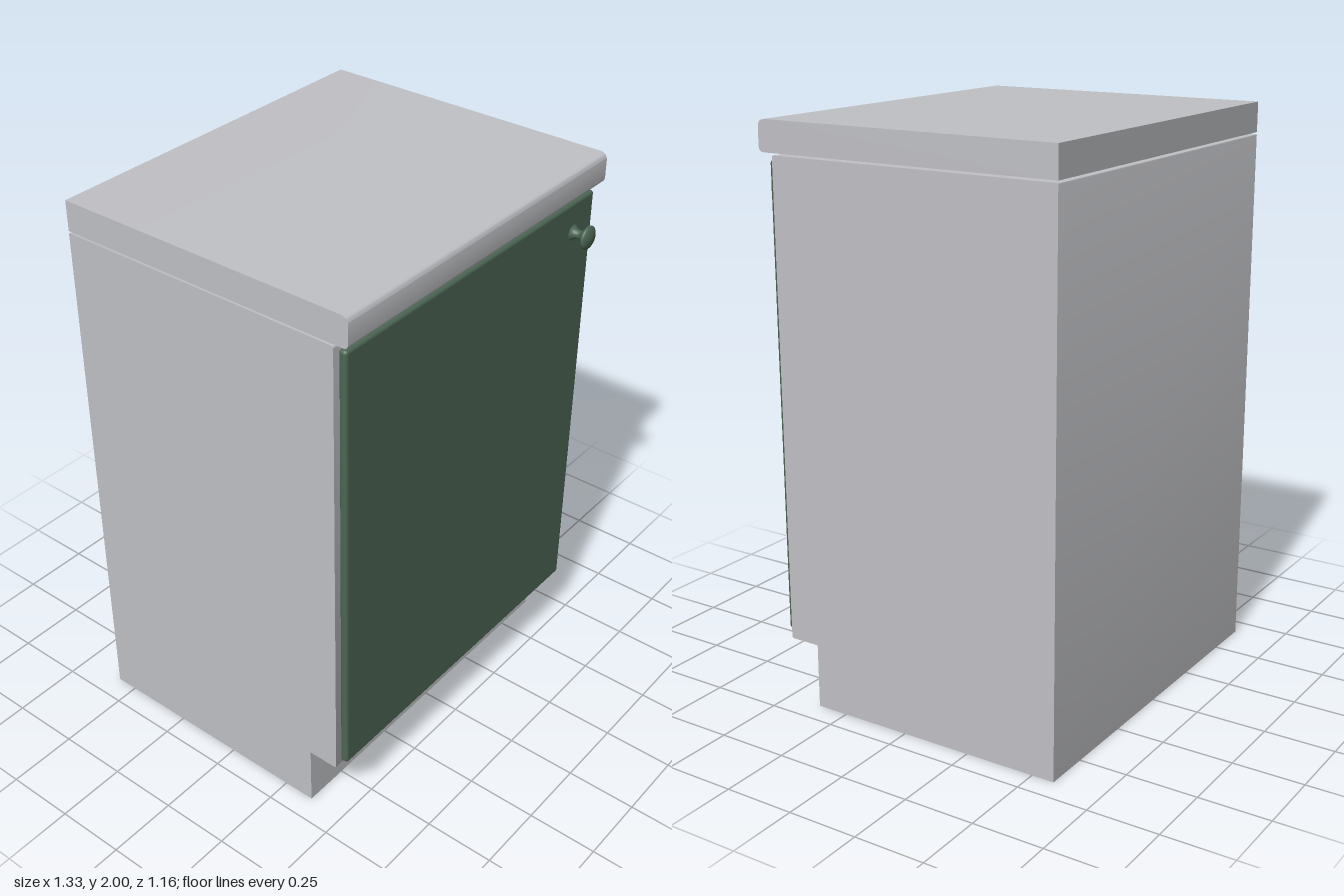
import * as THREE from 'three';
import { toCreasedNormals } from 'three/addons/utils/BufferGeometryUtils.js';
import { RoundedBoxGeometry } from 'three/addons/geometries/RoundedBoxGeometry.js';

const WIDTH = 1.33;

// Side profile from [z, y, cornerRadius] points, extruded across the width
function sideExtrusion(points) {
  const shape = new THREE.Shape();
  points.forEach(([z, y, r = 0], i) => {
    const p = new THREE.Vector2(z, y);
    const toward = ([qz, qy]) => new THREE.Vector2(qz - z, qy - y).normalize().multiplyScalar(r).add(p);
    const a = toward(points.at(i - 1));
    const b = toward(points[(i + 1) % points.length]);
    if (i === 0) shape.moveTo(a.x, a.y);
    else shape.lineTo(a.x, a.y);
    if (r > 0) shape.quadraticCurveTo(z, y, b.x, b.y);
  });
  shape.closePath();
  const geometry = new THREE.ExtrudeGeometry(shape, { depth: WIDTH, bevelEnabled: false, curveSegments: 8 });
  geometry.translate(0, 0, -WIDTH / 2).rotateY(-Math.PI / 2);
  return toCreasedNormals(geometry, 0.6);
}

export function createModel() {
  const group = new THREE.Group();
  const grey = new THREE.MeshStandardMaterial({ color: 0xc0c1c5 });
  grey.name = 'light grey';
  const green = new THREE.MeshStandardMaterial({ color: 0x4c6653 });
  green.name = 'dark green';

  const add = (name, geometry, material, x = 0, y = 0, z = 0) => {
    const mesh = new THREE.Mesh(geometry, material);
    mesh.name = name;
    mesh.position.set(x, y, z);
    group.add(mesh);
    return mesh;
  };

  // Carcass with a recessed toe kick
  add('cabinetBody', sideExtrusion([
    [-0.58, 0], [0.365, 0], [0.365, 0.228], [0.477, 0.228, 0.008], [0.477, 1.888, 0.008], [-0.58, 1.888, 0.004],
  ]), grey);

  // Worktop with a rounded front edge, a hairline above the carcass
  add('worktop', sideExtrusion([
    [-0.58, 1.895], [0.53, 1.895, 0.02], [0.53, 2, 0.028], [-0.58, 2],
  ]), grey);

  // Door with softened edges
  add('door', new RoundedBoxGeometry(1.29, 1.62, 0.03, 3, 0.012), green, 0, 1.06, 0.492);

  // Turned knob, its axis pointing forward
  const profile = new THREE.SplineCurve([
    [0.03, 0], [0.019, 0.012], [0.015, 0.03], [0.022, 0.042], [0.037, 0.052],
    [0.041, 0.06], [0.035, 0.067], [0.02, 0.073], [0, 0.076],
  ].map(([r, h]) => new THREE.Vector2(r, h))).getPoints(24);
  profile[profile.length - 1].x = 0;
  add('knob', new THREE.LatheGeometry(profile, 32).rotateX(Math.PI / 2), green, 0.53, 1.76, 0.505);

  return group;
}
